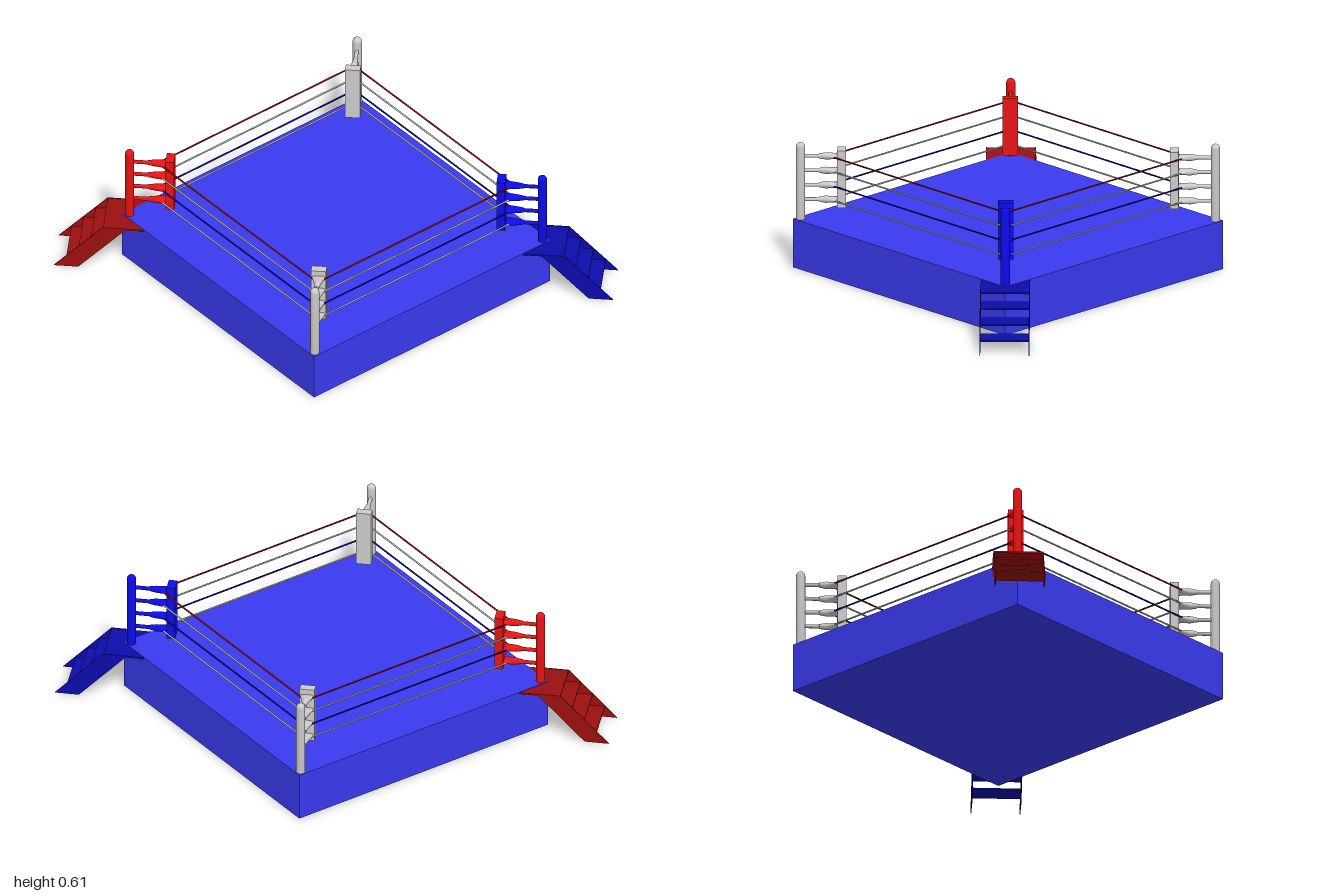
import * as THREE from 'three';

const ROPE_Y = [0.33, 0.4, 0.47, 0.54];
const TOP = 0.235;
const material = (color) => new THREE.MeshStandardMaterial({ color });
const GREY = material(0xcccccc), RED = material(0xe81414), BLUE = material(0x0c0cee);
const DARK_RED = material(0x9c1010), DARK_BLUE = material(0x0c0cac);
const CANVAS = material(0x3a3af0), ROPE_RED = material(0x9c0808), ROPE_BLUE = material(0x0808a0);

function add(parent, name, geometry, mat, x = 0, y = 0, z = 0) {
  const mesh = new THREE.Mesh(geometry, mat);
  mesh.name = name;
  mesh.position.set(x, y, z);
  parent.add(mesh);
  return mesh;
}

// Flattened fan joining a rod to the pad: it widens sideways while it thins in height
function fanGeometry(length) {
  const halfWidths = [0.011, 0.014, 0.024, 0.036];
  const halfHeights = [0.011, 0.017, 0.014, 0.008];
  const g = new THREE.CylinderGeometry(1, 1, length, 16, 3).rotateX(Math.PI / 2);
  const p = g.attributes.position;
  for (let i = 0; i < p.count; i++) {
    const row = Math.round((0.5 - p.getZ(i) / length) * 3);
    p.setXY(i, p.getX(i) * halfWidths[row], p.getY(i) * halfHeights[row]);
  }
  g.computeVertexNormals();
  return g;
}

// Corner assembly; local +z points outwards along the diagonal
function cornerPost(mat) {
  const corner = new THREE.Group();
  const r = 0.021, capY = 0.585 - TOP;
  const profile = [[0, 0], [r, 0], [r, capY]].map(([x, y]) => new THREE.Vector2(x, y));
  for (let i = 1; i <= 6; i++) {
    const a = (i / 6) * Math.PI / 2;
    profile.push(new THREE.Vector2(i === 6 ? 0 : r * Math.cos(a), capY + r * Math.sin(a)));
  }
  add(corner, 'post', new THREE.LatheGeometry(profile, 20), mat, 0, TOP, 0.955);
  add(corner, 'cornerPad', new THREE.BoxGeometry(0.07, 0.275, 0.04), mat, 0, 0.4375, 0.766);
  const rod = new THREE.CylinderGeometry(0.009, 0.009, 0.1, 12).rotateX(Math.PI / 2);
  const fan = fanGeometry(0.09);
  for (const y of ROPE_Y) {
    add(corner, 'turnbuckleRod', rod, mat, 0, y, 0.905);
    add(corner, 'turnbuckleFan', fan, mat, 0, y, 0.825);
  }
  return corner;
}

// Stairs; local +z points outwards along the diagonal
function cornerStairs(mat) {
  const stairs = new THREE.Group();
  const thickness = 0.004;
  const side = new THREE.Shape([[1.294, 0], [1.068, TOP], [0.955, TOP], [1.181, 0]]
    .map(([d, y]) => new THREE.Vector2(d, y)));
  const stringer = new THREE.ExtrudeGeometry(side, { depth: thickness, bevelEnabled: false })
    .translate(0, 0, -thickness / 2).rotateY(-Math.PI / 2);
  for (const s of [-1, 1]) add(stairs, 'stringer', stringer, mat, s * 0.113, 0, 0);
  const tread = new THREE.BoxGeometry(0.226, 0.007, 0.1);
  for (const y of [0.053, 0.112, 0.171]) add(stairs, 'tread', tread, mat, 0, y, 1.237 - 0.96 * y);
  add(stairs, 'landing', new THREE.BoxGeometry(0.226, 0.008, 0.19), mat, 0, 0.229, 0.972);
  return stairs;
}

export function createModel() {
  const ring = new THREE.Group();
  ring.name = 'boxingRing';
  add(ring, 'platform', new THREE.BoxGeometry(1.4, TOP, 1.4), CANVAS, 0, TOP / 2, 0);

  // Four posts, with stairs at the two coloured corners
  const corners = [
    ['redCorner', -1, 1, RED, DARK_RED],
    ['blueCorner', 1, -1, BLUE, DARK_BLUE],
    ['frontGreyCorner', 1, 1, GREY],
    ['backGreyCorner', -1, -1, GREY],
  ];
  for (const [name, sx, sz, mat, stairMat] of corners) {
    const corner = cornerPost(mat);
    corner.name = name;
    corner.rotation.y = Math.atan2(sx, sz);
    if (stairMat) {
      const stairs = cornerStairs(stairMat);
      stairs.name = 'stairs';
      corner.add(stairs);
    }
    ring.add(corner);
  }

  // Four ropes on each side
  const ropeMats = [GREY, ROPE_BLUE, GREY, ROPE_RED];
  const rope = new THREE.CylinderGeometry(0.004, 0.004, 1.17, 8).rotateZ(Math.PI / 2);
  for (let i = 0; i < 4; i++) {
    const side = new THREE.Group();
    side.name = 'ropeSide';
    side.rotation.y = i * Math.PI / 2;
    ROPE_Y.forEach((y, k) => add(side, 'rope', rope, ropeMats[k], 0, y, 0.583));
    ring.add(side);
  }
  return ring;
}
